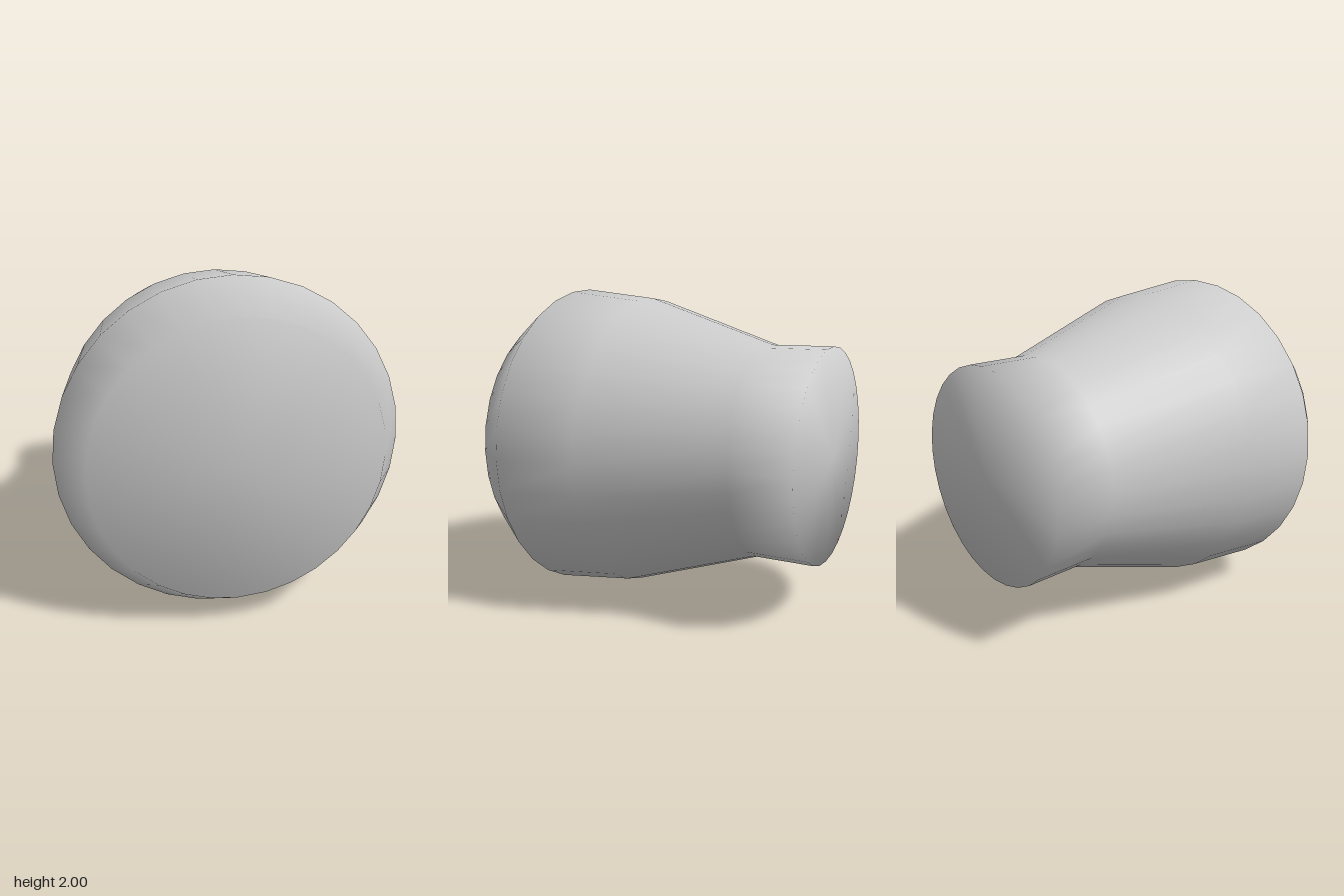
import * as THREE from 'three';
import { mergeVertices } from 'three/addons/utils/BufferGeometryUtils.js';

export function createModel() {
  const group = new THREE.Group();
  group.name = 'knob';

  // Profile from the back of the neck to the front face: [radius, z]
  const profile = [
    [0, -1], [0.66, -0.98],              // slightly domed back cap
    [0.66, -0.6],                        // straight neck
    [0.94, 0.24], [1, 0.74],             // flaring body
    [0.83, 0.98], [0, 1],                // bevel and slightly domed front
  ].map(([r, z]) => new THREE.Vector2(r, z));

  // Turn the profile round the z axis, then weld it so shading is smooth over every edge
  let geometry = new THREE.LatheGeometry(profile, 32);
  geometry.deleteAttribute('normal');
  geometry.deleteAttribute('uv');
  geometry = mergeVertices(geometry, 1e-4);
  geometry.computeVertexNormals();
  geometry.rotateX(Math.PI / 2);

  const body = new THREE.Mesh(geometry, new THREE.MeshStandardMaterial({ color: 0xcccccc }));
  body.name = 'knobBody';
  body.position.y = 1;
  group.add(body);
  return group;
}
